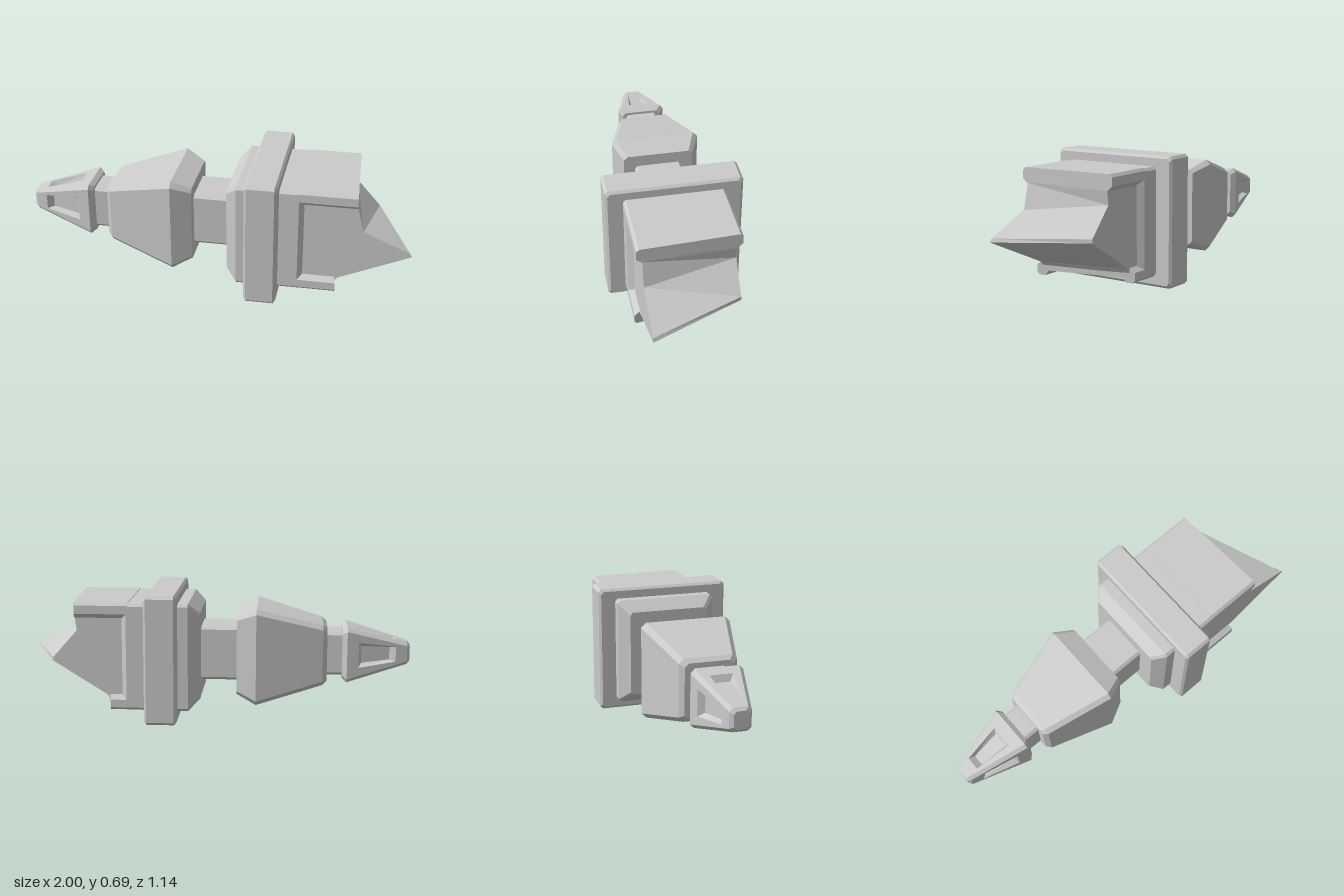
import * as THREE from 'three';

const material = new THREE.MeshStandardMaterial({ color: 0xcccccc, flatShading: true });
const MID_Y = 0.347, MID_Z = 0.007;

// Chamfered rectangular cross-section at x; even-numbered sides are the broad ones
function section(x, halfZ, halfY, ch = 0.015) {
  const a = halfZ - ch, b = halfY - ch;
  return [[halfY, -a], [halfY, a], [b, halfZ], [-b, halfZ],
    [-halfY, a], [-halfY, -a], [-b, -halfZ], [b, -halfZ]]
    .map(([y, z]) => new THREE.Vector3(x, MID_Y + y, MID_Z + z));
}

// Skin a list of rings, close both ends; one segment may carry sunken panels
function loft(name, rings, axis = 'x', panelSegment = -1) {
  const pos = [];
  const tri = (...pts) => pts.forEach(p => pos.push(p.x, p.y, p.z));
  const quad = (a, b, c, d) => { tri(a, b, c); tri(a, c, d); };
  const band = (p, q) => p.forEach((_, i) => {
    const k = (i + 1) % p.length;
    quad(p[i], p[k], q[k], q[i]);
  });

  // Frame, sloping walls and floor of a sunken panel
  const panel = (a, b, c, d) => {
    const at = (s, t) => a.clone().lerp(b, t).lerp(d.clone().lerp(c, t), s);
    const rim = [at(0.19, 0.15), at(0.19, 0.85), at(0.81, 0.8), at(0.81, 0.2)];
    const normal = b.clone().sub(a).cross(d.clone().sub(a)).normalize();
    const floor = [at(0.27, 0.24), at(0.27, 0.76), at(0.74, 0.72), at(0.74, 0.28)]
      .map(p => p.addScaledVector(normal, -0.03));
    band([a, b, c, d], rim);
    band(rim, floor);
    quad(...floor);
  };

  for (let i = 0; i < rings.length - 1; i++) {
    const r = rings[i], q = rings[i + 1], n = r.length;
    for (let j = 0; j < n; j++) {
      const k = (j + 1) % n;
      const put = i === panelSegment && j % 2 === 0 ? panel : quad;
      put(r[j], r[k], q[k], q[j]);
    }
  }

  // End caps, turned to face outwards
  [[rings[0], -1], [rings[rings.length - 1], 1]].forEach(([ring, sign]) => {
    const flat = ring.map(p => axis === 'x' ? new THREE.Vector2(p.z, p.y) : new THREE.Vector2(p.x, p.y));
    THREE.ShapeUtils.triangulateShape(flat, []).forEach(([i, j, k]) => {
      const [a, b, c] = [ring[i], ring[j], ring[k]];
      const normal = b.clone().sub(a).cross(c.clone().sub(a));
      if (normal[axis] * sign > 0) tri(a, b, c); else tri(a, c, b);
    });
  });

  const geometry = new THREE.BufferGeometry();
  geometry.setAttribute('position', new THREE.Float32BufferAttribute(pos, 3));
  geometry.computeVertexNormals();
  const mesh = new THREE.Mesh(geometry, material);
  mesh.name = name;
  return mesh;
}

// Straight bar with a [z, y] profile, cut off at an angle at its far end
function bar(name, profile, start, end, slant) {
  const ring = x => profile.map(([z, y]) => new THREE.Vector3(x(z), y, z + MID_Z));
  return loft(name, [ring(() => start), ring(z => end + slant * z)]);
}

export function createModel() {
  const body = new THREE.Group();
  body.name = 'body';
  body.rotation.y = 0.478;

  // Tapered tip with a sunken panel on each side
  body.add(loft('tip', [
    section(-1.115, 0.038, 0.045), section(-1.1, 0.055, 0.06, 0.018),
    section(-0.775, 0.135, 0.15, 0.02), section(-0.75, 0.112, 0.132, 0.02)], 'x', 1));
  body.add(loft('tipConnector', [section(-0.76, 0.09, 0.118), section(-0.66, 0.09, 0.118)]));

  // Faceted middle and its neck
  body.add(loft('middle', [
    section(-0.668, 0.128, 0.145, 0.02), section(-0.645, 0.152, 0.165, 0.025),
    section(-0.29, 0.242, 0.26, 0.025), section(-0.185, 0.192, 0.212, 0.02)]));
  body.add(loft('neck', [section(-0.2, 0.13, 0.146), section(0.02, 0.13, 0.146)]));

  // Stepped shoulder and large collar
  body.add(loft('shoulder', [
    section(0.01, 0.217, 0.235), section(0.07, 0.272, 0.29), section(0.13, 0.272, 0.29)]));
  body.add(loft('collar', [
    section(0.125, 0.35, 0.332), section(0.137, 0.363, 0.345),
    section(0.284, 0.363, 0.345), section(0.296, 0.35, 0.332)]));

  // Head: solid base, overhanging top plate and bottom plate with two runners
  body.add(loft('headBase', [
    section(0.28, 0.27, 0.289), section(0.4, 0.27, 0.289), section(0.43, 0.235, 0.25)]));
  body.add(bar('topPlate', [
    [-0.255, 0.64], [0.255, 0.64], [0.27, 0.625], [0.27, 0.58],
    [0.24, 0.555], [-0.24, 0.555], [-0.27, 0.58], [-0.27, 0.625]], 0.39, 0.69, 0.05));
  body.add(bar('bottomPlate', [
    [-0.24, 0.138], [0.24, 0.138], [0.27, 0.115], [0.27, 0.073], [0.257, 0.06],
    [0.225, 0.06], [0.205, 0.085], [-0.205, 0.085], [-0.225, 0.06],
    [-0.257, 0.06], [-0.27, 0.073], [-0.27, 0.115]], 0.39, 0.545, 0.22));

  // Slanted wedge between the plates
  const wedgeSide = (z, pts) => pts.map(([x, y]) => new THREE.Vector3(x, y, z + MID_Z));
  body.add(loft('wedge', [
    wedgeSide(-0.24, [[0.38, 0.1], [0.485, 0.1], [0.505, 0.135], [0.8, 0.318],
      [0.798, 0.338], [0.667, 0.485], [0.678, 0.57], [0.678, 0.62], [0.38, 0.62]]),
    wedgeSide(0.24, [[0.38, 0.1], [0.585, 0.1], [0.615, 0.135], [0.995, 0.3],
      [0.985, 0.318], [0.737, 0.425], [0.703, 0.56], [0.702, 0.62], [0.38, 0.62]])], 'z'));

  const model = new THREE.Group();
  model.name = 'model';
  model.add(body);
  return model;
}
